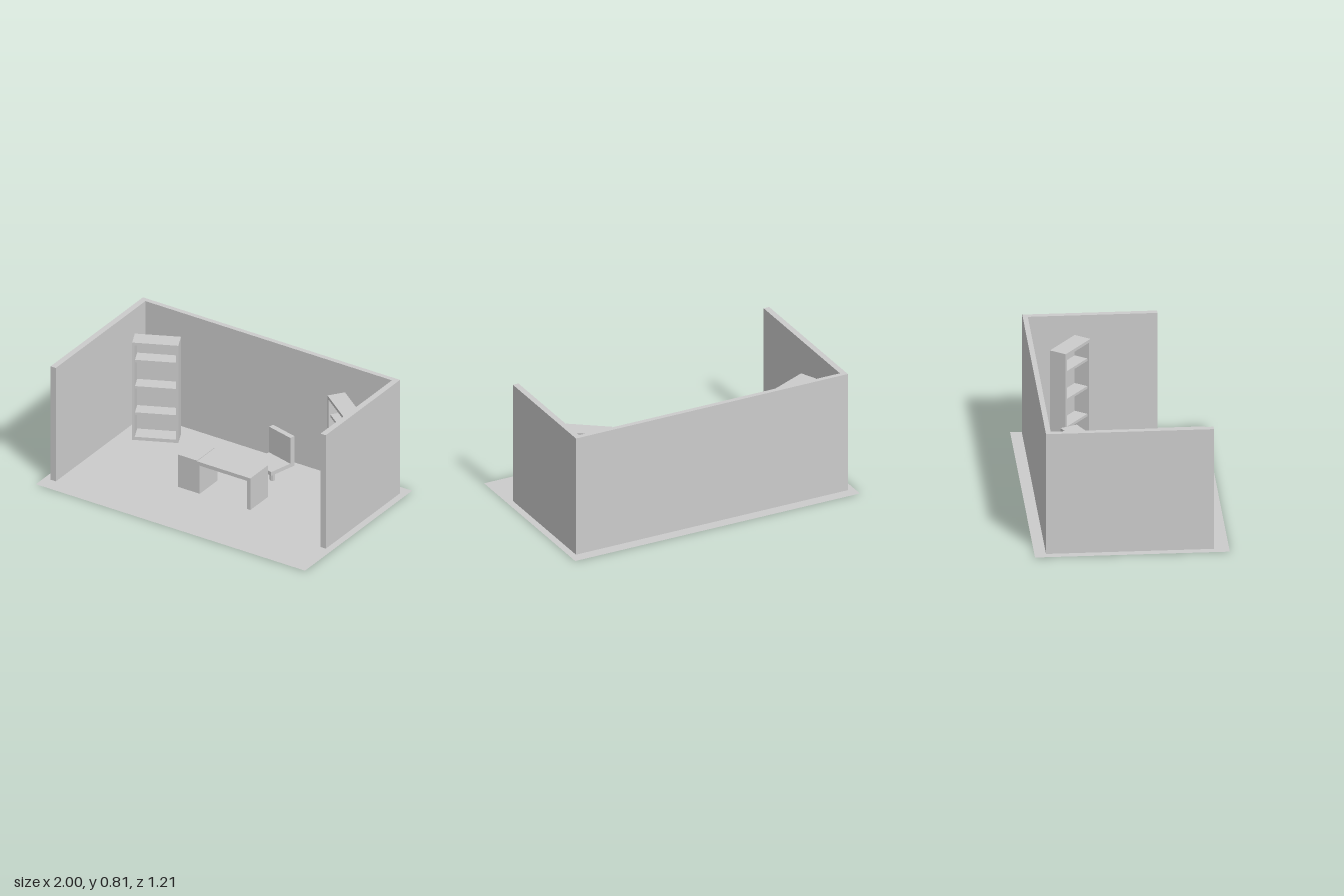
import * as THREE from 'three';

const material = new THREE.MeshStandardMaterial({ color: 0xcccccc, flatShading: true });
const LIFT = 0.002; // keeps bases just clear of the floor sheet

function add(parent, name, geometry, x = 0, y = 0, z = 0, mat = material) {
  const mesh = new THREE.Mesh(geometry, mat);
  mesh.name = name;
  mesh.position.set(x, y, z);
  parent.add(mesh);
  return mesh;
}

// Box given by its lower and upper bounds
function box(parent, name, [x0, x1], [y0, y1], [z0, z1]) {
  return add(parent, name, new THREE.BoxGeometry(x1 - x0, y1 - y0, z1 - z0),
    (x0 + x1) / 2, (y0 + y1) / 2, (z0 + z1) / 2);
}

function extrude(points, depth) {
  const shape = new THREE.Shape(points.map(([x, y]) => new THREE.Vector2(x, y)));
  return new THREE.ExtrudeGeometry(shape, { depth, bevelEnabled: false });
}

function placedGroup(parent, name, x, z, degrees) {
  const group = new THREE.Group();
  group.name = name;
  group.position.set(x, LIFT, z);
  group.rotation.y = THREE.MathUtils.degToRad(degrees);
  parent.add(group);
  return group;
}

// Open bookcase facing local +z: frame, back panel and three recessed shelves
function bookcase(parent, name, x, z, degrees) {
  const group = placedGroup(parent, name, x, z, degrees);
  const w = 0.145, h = 0.693, d = 0.058, t = 0.016, back = -d + 0.01;
  for (const s of [-1, 1]) {
    const xs = s < 0 ? [-w, -w + t] : [w - t, w];
    box(group, 'bookcaseSide', xs, [0, h], [-d, d]);
  }
  const inner = [-w + t, w - t];
  box(group, 'bookcaseTop', inner, [h - 0.02, h], [-d, d]);
  box(group, 'bookcaseBase', inner, [0, 0.023], [-d, d]);
  box(group, 'bookcaseBack', inner, [0.023, h - 0.02], [-d, back]);
  for (const y of [0.173, 0.36, 0.547])
    box(group, 'bookcaseShelf', inner, [y, y + 0.017], [back, d - 0.013]);
}

export function createModel() {
  const model = new THREE.Group();
  model.name = 'officeRoom';

  // Floor sheet, seen from both sides
  const floorMaterial = material.clone();
  floorMaterial.side = THREE.DoubleSide;
  add(model, 'floor', new THREE.PlaneGeometry(2, 1.214).rotateX(-Math.PI / 2), 0, 0, 0, floorMaterial);

  // U-shaped wall with a longer right arm; plan points are (x, -z)
  const wallPlan = [
    [-0.953, -0.512], [-0.914, -0.512], [-0.914, 0.503], [0.918, 0.503],
    [0.918, -0.305], [0.957, -0.305], [0.957, 0.535], [-0.953, 0.535],
  ];
  add(model, 'walls', extrude(wallPlan, 0.808).rotateX(-Math.PI / 2), 0, LIFT, 0);

  bookcase(model, 'rightBookcase', -0.7, -0.303, 25);
  bookcase(model, 'leftBookcase', 0.727, -0.254, -36.5);

  // Desk: solid pedestal, thin top and one panel leg
  const deskProfile = [
    [-0.24, 0], [-0.08, 0], [-0.08, 0.2], [0.272, 0.2], [0.272, 0],
    [0.296, 0], [0.296, 0.225], [-0.1, 0.225], [-0.1, 0.23], [-0.24, 0.23],
  ];
  add(model, 'desk', extrude(deskProfile, 0.199), 0, LIFT, -0.046);

  // Chair on a single post
  const chair = placedGroup(model, 'chair', 0.197, -0.245, -14.3);
  box(chair, 'chairSeat', [-0.098, 0.098], [0.103, 0.13], [-0.063, 0.098]);
  box(chair, 'chairBack', [-0.098, 0.098], [0.103, 0.313], [-0.098, -0.063]);
  add(chair, 'chairPost', new THREE.CylinderGeometry(0.018, 0.018, 0.103, 6), 0.003, 0.0515, 0);

  return model;
}
